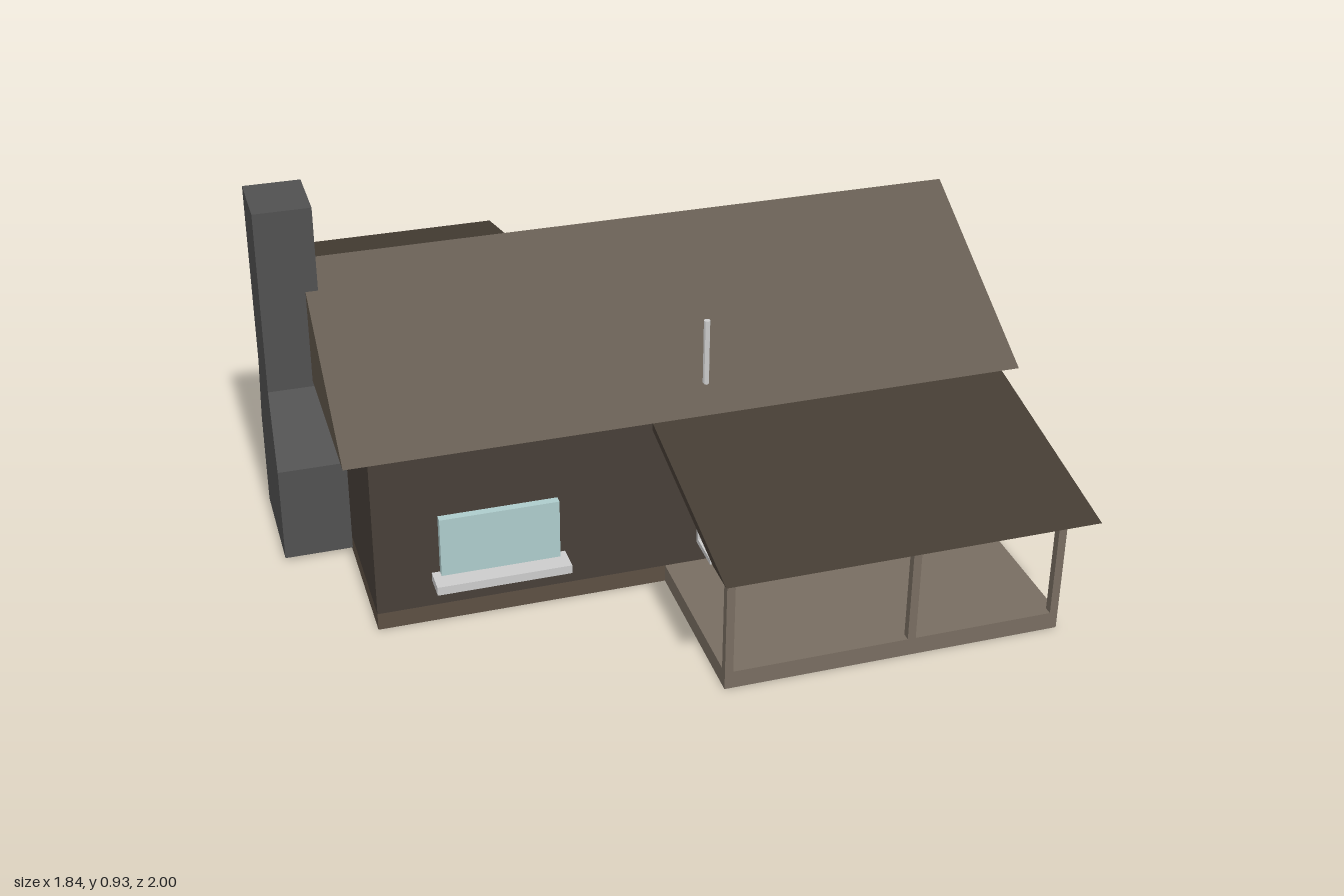
import * as THREE from 'three';

const mat = (color) => new THREE.MeshStandardMaterial({ color, flatShading: true });
const WALL = mat(0x473f38), BASE = mat(0x5c4f43), ROOF = mat(0x60564a), PORCH_ROOF = mat(0x443c33);
const TIMBER = mat(0x786d61), STONE = mat(0x505050), GLASS = mat(0xadcbcb), GREY = mat(0xcccccc);

export function createModel() {
  const house = new THREE.Group();
  house.name = 'cabin';

  const add = (name, geometry, material, parent = house) => {
    const mesh = new THREE.Mesh(geometry, material);
    mesh.name = name;
    parent.add(mesh);
    return mesh;
  };

  // Box given by its limits on each axis
  const box = (name, [x0, x1], [y0, y1], [z0, z1], material, parent) => {
    const g = new THREE.BoxGeometry(x1 - x0, y1 - y0, z1 - z0);
    g.translate((x0 + x1) / 2, (y0 + y1) / 2, (z0 + z1) / 2);
    return add(name, g, material, parent);
  };

  // Profile of [z, y] points swept along x
  const sweepX = (name, points, [x0, x1], material, parent) => {
    const shape = new THREE.Shape(points.map(([z, y]) => new THREE.Vector2(-z, y)));
    const g = new THREE.ExtrudeGeometry(shape, { depth: x1 - x0, bevelEnabled: false });
    g.rotateY(Math.PI / 2);
    g.translate(x0, 0, 0);
    return add(name, g, material, parent);
  };

  // Main body and gable roof
  box('foundation', [-0.75, 0.8], [0, 0.045], [-0.53, 0.46], BASE);
  box('walls', [-0.75, 0.8], [0.045, 0.47], [-0.53, 0.46], WALL);
  sweepX('gableRoof', [[0.485, 0.47], [-0.56, 0.47], [-0.035, 0.76]], [-0.81, 0.867], ROOF);

  // Porches: deck, three posts and a thin sloping roof
  const porch = (name, side, wallZ, edgeZ, tipZ, deckX, roofX, postX) => {
    const group = new THREE.Group();
    group.name = name;
    house.add(group);
    const span = (a, b) => [Math.min(a, b), Math.max(a, b)];
    box('deck', deckX, [0, 0.045], span(wallZ, edgeZ), TIMBER, group);
    for (const x of postX) {
      box('post', [x - 0.01, x + 0.01], [0.045, 0.352], span(edgeZ, edgeZ - side * 0.02), TIMBER, group);
    }
    sweepX('porchRoof', [[wallZ, 0.457], [tipZ, 0.345], [edgeZ, 0.345], [wallZ, 0.437]], roofX, PORCH_ROOF, group);
  };
  porch('frontPorch', 1, 0.46, 0.91, 1, [-0.035, 0.8], [-0.07, 0.833], [-0.025, 0.425, 0.79]);
  porch('backPorch', -1, -0.53, -0.92, -1, [-0.75, -0.15], [-0.78, -0.125], [-0.74, -0.45, -0.16]);

  // Chimney: wide base narrowing at the shoulders
  const rings = [
    { y: 0.01, x: -0.75, z: [-0.18, 0.11] },
    { y: 0.26, x: -0.75, z: [-0.18, 0.11] },
    { y: 0.455, x: -0.78, z: [-0.12, 0.052] },
    { y: 0.928, x: -0.78, z: [-0.12, 0.052] },
  ];
  const stack = new THREE.BoxGeometry(1, 1, 1, 1, 3, 1);
  const p = stack.attributes.position;
  for (let i = 0; i < p.count; i++) {
    const r = rings[Math.round((p.getY(i) + 0.5) * 3)];
    p.setXYZ(i, p.getX(i) > 0 ? r.x : -0.92, r.y, p.getZ(i) > 0 ? r.z[1] : r.z[0]);
  }
  stack.computeVertexNormals();
  add('chimney', stack, STONE);

  // Vent pipe on the front slope
  const pipe = new THREE.CylinderGeometry(0.008, 0.008, 0.17, 8);
  add('ventPipe', pipe, GREY).position.set(0.08, 0.595, 0.405);

  // Windows
  box('frontWindow', [-0.595, -0.305], [0.135, 0.292], [0.46, 0.48], GLASS);
  box('windowSill', [-0.615, -0.288], [0.115, 0.137], [0.46, 0.525], GREY);
  for (const z of [0.262, -0.35]) {
    box('sideWindow', [0.8, 0.82], [0.142, 0.295], [z - 0.052, z + 0.052], GLASS);
  }
  box('backWindow', [-0.62, -0.47], [0.142, 0.295], [-0.565, -0.53], GLASS);

  // Doors
  box('frontDoor', [0.525, 0.697], [0.045, 0.285], [0.46, 0.466], WALL);
  box('doorHandle', [0.686, 0.697], [0.08, 0.2], [0.466, 0.478], GREY);
  box('backDoor', [-0.37, -0.2], [0.045, 0.285], [-0.536, -0.53], BASE);

  // Bench and chest on the front porch
  box('benchSeat', [0.045, 0.295], [0.1, 0.113], [0.46, 0.565], GREY);
  box('benchBack', [0.045, 0.295], [0.113, 0.182], [0.46, 0.472], GREY);
  box('chest', [0.315, 0.48], [0.045, 0.107], [0.46, 0.52], GREY);

  // Cabinet on the back porch
  box('cabinet', [-0.73, -0.63], [0.045, 0.2], [-0.575, -0.53], GREY);

  // Lean-to bin with a sloping lid on the side wall
  const lean = new THREE.Shape([[0.8, 0.01], [0.915, 0.01], [0.915, 0.13], [0.8, 0.145]]
    .map(([x, y]) => new THREE.Vector2(x, y)));
  const bin = new THREE.ExtrudeGeometry(lean, { depth: 0.312, bevelEnabled: false });
  add('sideBin', bin, GREY).position.z = -0.263;

  // Wood box with stacked firewood behind the house
  box('woodBox', [0.128, 0.44], [0.01, 0.13], [-0.652, -0.53], GREY);
  const log = new THREE.CylinderGeometry(0.011, 0.011, 0.075, 6);
  log.rotateX(Math.PI / 2);
  for (let row = 0; row < 3; row++) {
    for (let i = 0; i < 6 - row; i++) {
      add('log', log, GREY).position.set(0.262 + 0.0125 * row + 0.025 * i, 0.141 + 0.019 * row, -0.597);
    }
  }

  return house;
}
